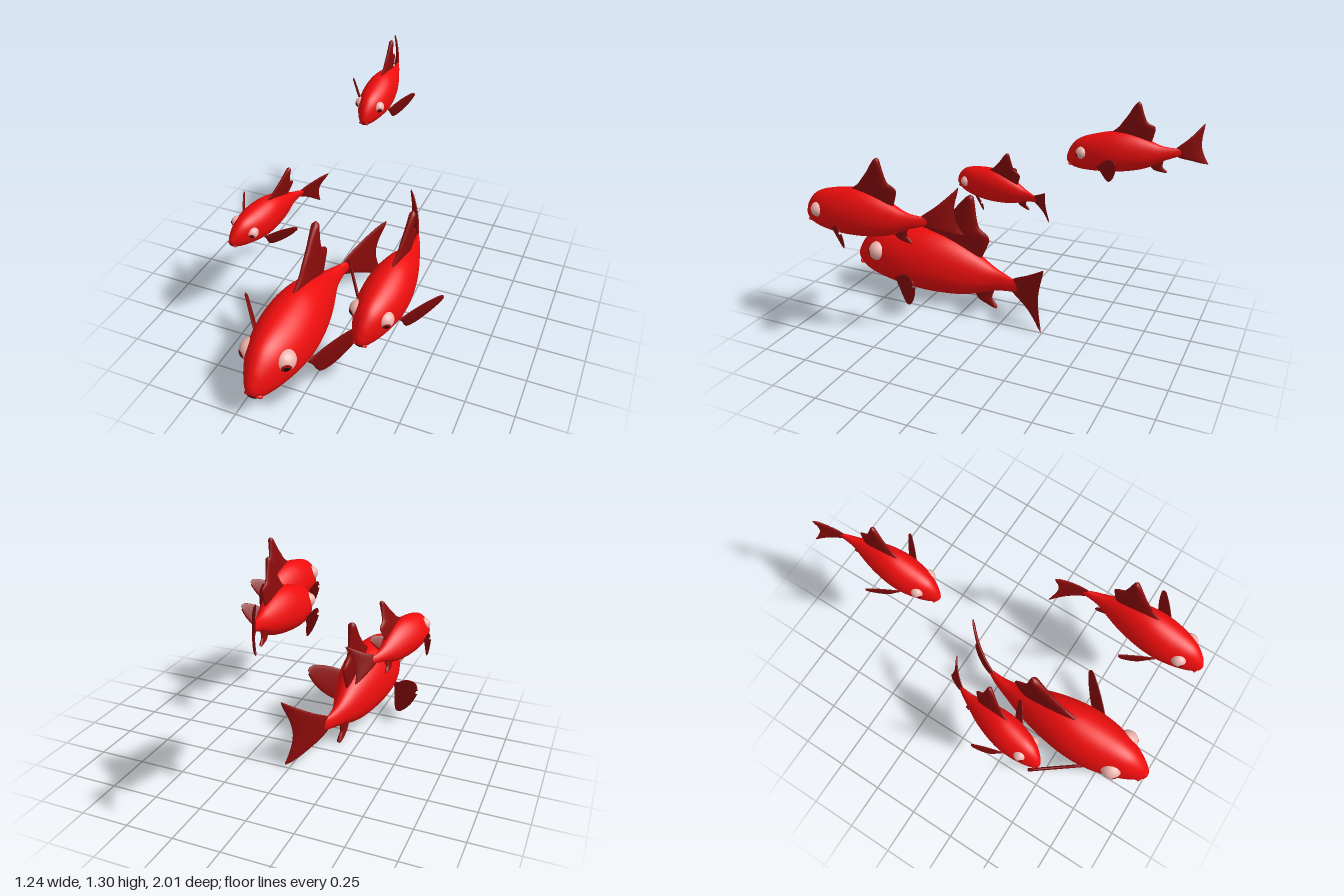
import * as THREE from 'three';

const mat = (color) => new THREE.MeshStandardMaterial({ color });
const RED = mat(0xee0d0d), FIN = mat(0x8c0b0b), EYE = mat(0xf0b4ae), IRIS = mat(0xa01010), DARK = mat(0x1c0404);
const V = (x, y, z) => new THREE.Vector3(x, y, z);

// Smooth skin through closed rings of points
function loft(rings) {
  const n = rings[0].length, index = [];
  for (let i = 0; i < rings.length - 1; i++) {
    for (let j = 0; j < n; j++) {
      const k = (j + 1) % n;
      const a = i * n + j, b = i * n + k, c = a + n, d = b + n;
      index.push(a, c, b, b, c, d);
    }
  }
  const geo = new THREE.BufferGeometry().setFromPoints(rings.flat());
  geo.setIndex(index);
  return geo;
}

// Fin with a lens section, spanned between two edge curves; rows are [pointA, pointB]
function fin(rows, thickness, steps = 28, sides = 20) {
  const edgeA = new THREE.CatmullRomCurve3(rows.map((r) => r[0]));
  const edgeB = new THREE.CatmullRomCurve3(rows.map((r) => r[1]));
  const middle = rows[rows.length >> 1];
  const along = rows.at(-1)[0].clone().add(rows.at(-1)[1]).sub(rows[0][0]).sub(rows[0][1]);
  const normal = middle[0].clone().sub(middle[1]).cross(along).normalize();
  const rings = [];
  for (let i = 0; i <= steps; i++) {
    const a = edgeA.getPoint(i / steps), b = edgeB.getPoint(i / steps);
    const mid = a.clone().add(b).multiplyScalar(0.5);
    const half = a.clone().sub(b).multiplyScalar(0.5);
    const t = Math.min(thickness, half.length());
    rings.push(Array.from({ length: sides }, (_, j) => {
      const f = (j / sides) * Math.PI * 2;
      return mid.clone().addScaledVector(half, Math.cos(f)).addScaledVector(normal, t * Math.sin(f));
    }));
  }
  return loft(rings);
}

// Rows of [zA, yA, zB, yB] in the fish's middle plane
const flatRows = (rows) => rows.map(([za, ya, zb, yb]) => [V(0, ya, za), V(0, yb, zb)]);

// Body stations: z, top, bottom, half width
const BODY = [
  [1.003, 0.19, 0.185, 0.001], [0.998, 0.215, 0.165, 0.02], [0.98, 0.25, 0.143, 0.039], [0.95, 0.297, 0.114, 0.06],
  [0.88, 0.36, 0.088, 0.097], [0.8, 0.39, 0.073, 0.126], [0.7, 0.406, 0.06, 0.149],
  [0.6, 0.416, 0.05, 0.157], [0.5, 0.418, 0.045, 0.151], [0.4, 0.4, 0.047, 0.135],
  [0.3, 0.363, 0.056, 0.111], [0.2, 0.31, 0.08, 0.08], [0.1, 0.255, 0.118, 0.047],
  [0, 0.225, 0.14, 0.024], [-0.05, 0.215, 0.15, 0.012], [-0.09, 0.185, 0.18, 0.001],
];

function bodyGeometry() {
  const profile = new THREE.CatmullRomCurve3(BODY.map(([z, t, b]) => V(z, t, b)));
  const width = new THREE.CatmullRomCurve3(BODY.map((r) => V(r[3], r[0], 0)));
  const rings = [];
  for (let i = 0; i <= 60; i++) {
    const { x: z, y: top, z: bottom } = profile.getPoint(i / 60);
    const w = Math.max(width.getPoint(i / 60).x, 0.001);
    const mid = bottom + 0.42 * (top - bottom);
    rings.push(Array.from({ length: 40 }, (_, j) => {
      const f = (j / 40) * Math.PI * 2, s = Math.sin(f);
      return V(w * Math.cos(f), mid + s * (s > 0 ? top - mid : mid - bottom), z);
    }));
  }
  return loft(rings);
}

// Dorsal, tail and anal fins
const DORSAL = flatRows([
  [0.56, 0.385, 0.2, 0.27], [0.54, 0.41, 0.155, 0.36], [0.46, 0.46, 0.135, 0.43],
  [0.42, 0.5, 0.195, 0.48], [0.36, 0.56, 0.213, 0.54], [0.31, 0.62, 0.222, 0.6],
  [0.27, 0.66, 0.23, 0.65], [0.245, 0.673, 0.24, 0.672],
]);
const TAIL = flatRows([
  [-0.262, 0.392, -0.265, 0.39], [-0.2, 0.34, -0.252, 0.34], [-0.12, 0.282, -0.234, 0.28],
  [-0.02, 0.222, -0.222, 0.22], [0.02, 0.18, -0.22, 0.185], [-0.02, 0.14, -0.223, 0.145],
  [-0.13, 0.085, -0.235, 0.085], [-0.2, 0.045, -0.245, 0.045], [-0.25, 0.018, -0.253, 0.018],
]);
const ANAL = flatRows([
  [0.25, 0.11, 0.1, 0.15], [0.23, 0.08, 0.105, 0.11], [0.205, 0.042, 0.117, 0.065],
  [0.15, 0.018, 0.1, 0.04], [0.09, 0.001, 0.083, 0.012],
]);

// Pectoral fin rows [xA, yA, xB, yB], laid on a plane swept backwards
const PECTORAL = [
  [0.135, 0.15, 0.14, 0.13], [0.165, 0.165, 0.15, 0.09], [0.2, 0.198, 0.158, 0.04],
  [0.245, 0.232, 0.17, 0.01], [0.285, 0.253, 0.2, 0.018], [0.32, 0.262, 0.25, 0.068],
  [0.335, 0.25, 0.3, 0.14], [0.337, 0.235, 0.334, 0.215],
];
const pectoralPoint = (side, x, y) =>
  V(side * x, y, 0.65 - 1.32 * (x - 0.155) + 0.287 * (y - 0.15));
const pectoral = (side) =>
  fin(PECTORAL.map(([xa, ya, xb, yb]) => [pectoralPoint(side, xa, ya), pectoralPoint(side, xb, yb)]), 0.009);

function createFish(curl) {
  const fish = new THREE.Group();
  // Every part follows the sideways sweep of the tail
  const add = (name, geo, material) => {
    const p = geo.attributes.position;
    for (let i = 0; i < p.count; i++) {
      p.setX(i, p.getX(i) + curl * Math.max(0, 0.25 - p.getZ(i)) ** 3);
    }
    geo.computeVertexNormals();
    const mesh = new THREE.Mesh(geo, material);
    mesh.name = name;
    fish.add(mesh);
  };
  add('body', bodyGeometry(), RED);
  add('dorsalFin', fin(DORSAL, 0.022), FIN);
  add('tailFin', fin(TAIL, 0.011), FIN);
  add('analFin', fin(ANAL, 0.014), FIN);

  // Mouth opening with a ring of lips
  add('mouth', new THREE.SphereGeometry(1, 20, 12).scale(0.038, 0.012, 0.022).translate(0, 0.147, 0.968), DARK);
  add('lips', new THREE.TorusGeometry(0.04, 0.009, 10, 28).scale(1, 0.42, 1).rotateX(0.7).translate(0, 0.146, 0.97), RED);

  for (const side of [1, -1]) {
    const label = side > 0 ? 'left' : 'right';
    add(label + 'PectoralFin', pectoral(side), FIN);

    // Eyeball with iris and pupil caps facing forward and outward
    const place = (geo) => geo
      .applyQuaternion(new THREE.Quaternion().setFromUnitVectors(V(0, 1, 0), V(side * 0.58, -0.15, 0.8).normalize()))
      .translate(side * 0.091, 0.266, 0.812);
    const cap = (r, angle) => place(new THREE.SphereGeometry(r, 24, 8, 0, Math.PI * 2, 0, angle));
    add(label + 'Eye', place(new THREE.SphereGeometry(0.058, 28, 20)), EYE);
    add(label + 'Iris', cap(0.0592, 0.46), IRIS);
    add(label + 'Pupil', cap(0.0602, 0.22), DARK);
  }
  // Pivot in the middle of the body
  fish.children.forEach((m) => m.geometry.translate(0, -0.2, -0.6));
  return fish;
}

export function createModel() {
  const model = new THREE.Group();
  model.name = 'fishShoal';
  const shoal = [
    { name: 'largeFish', at: [-0.155, 0.2, 0.6], size: 1, turn: [0, 0, 0], curl: 1.4 },
    { name: 'leftFish', at: [0.383, 0.683, 0.67], size: 0.685, turn: [0.094, -0.05, -0.11], curl: -1.45 },
    { name: 'rightFish', at: [-0.46, 0.622, 0.288], size: 0.54, turn: [0.01, -0.2, -0.27], curl: 1.1 },
    { name: 'rearFish', at: [-0.13, 1.01, -0.53], size: 0.545, turn: [0.18, -0.01, -0.08], curl: -1.1 },
  ];
  for (const { name, at, size, turn, curl } of shoal) {
    const fish = createFish(curl);
    fish.name = name;
    fish.position.set(...at);
    fish.rotation.set(...turn, 'YXZ');
    fish.scale.setScalar(size);
    model.add(fish);
  }
  return model;
}
